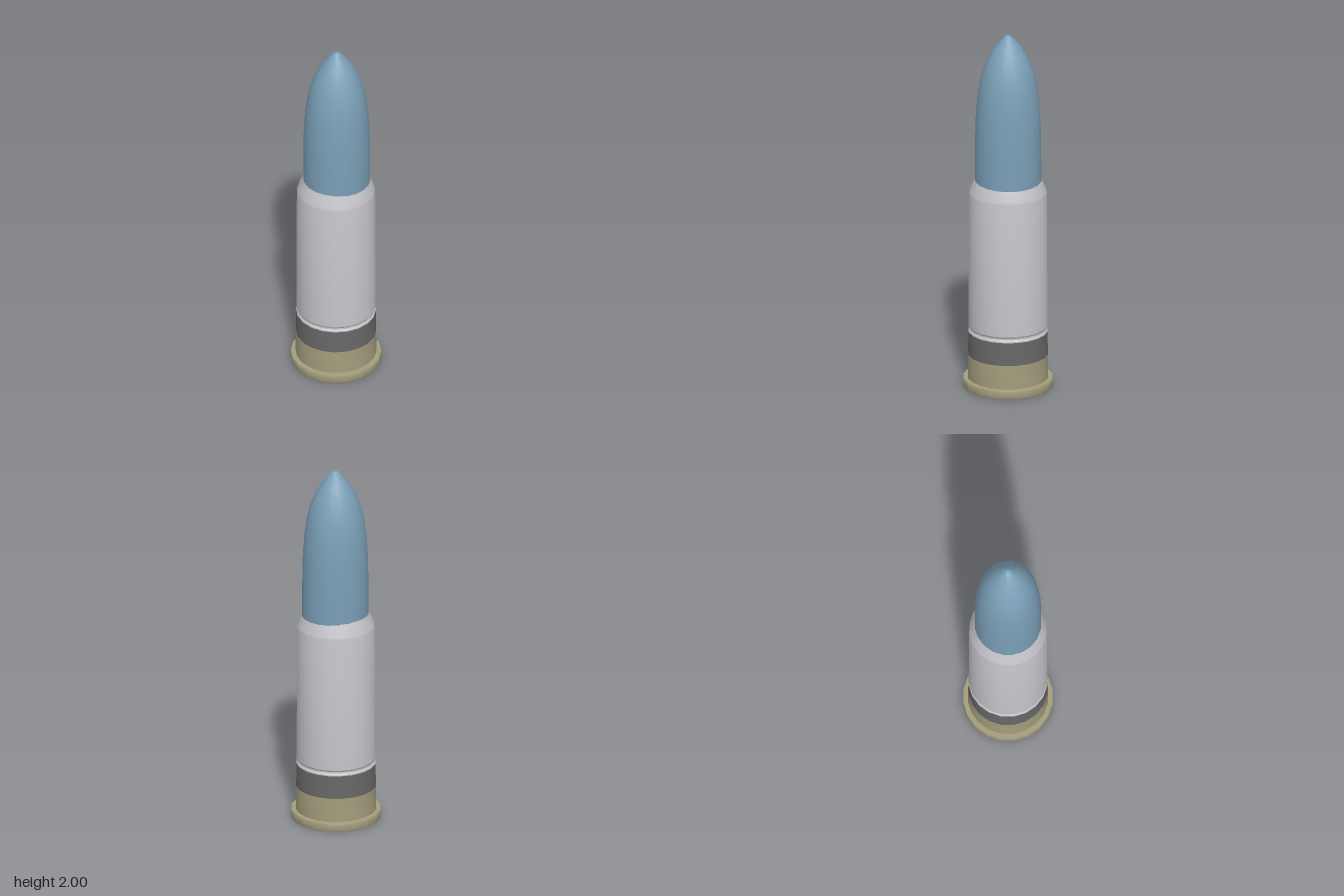
import * as THREE from 'three';
import { toCreasedNormals } from 'three/addons/utils/BufferGeometryUtils.js';

const SIDES = 20;

// Revolved part from [radius, height] pairs, listed bottom to top
function turned(name, color, profile) {
  const points = profile.map(([r, y]) => new THREE.Vector2(r, y));
  const geometry = toCreasedNormals(new THREE.LatheGeometry(points, SIDES), 0.5);
  const material = new THREE.MeshStandardMaterial({ color, side: THREE.DoubleSide });
  const mesh = new THREE.Mesh(geometry, material);
  mesh.name = name;
  return mesh;
}

export function createModel() {
  const group = new THREE.Group();
  group.name = 'cartridge';

  // Brass head: recessed primer, wide rim, short wall
  group.add(turned('rimmedHead', 0xa39d7c, [
    [0, 0.015], [0.075, 0.015], [0.077, 0], [0.243, 0], [0.245, 0.004],
    [0.245, 0.043], [0.243, 0.047], [0.218, 0.047], [0.216, 0.18],
  ]));

  // Dark band above the head
  group.add(turned('band', 0x686868, [[0.216, 0.18], [0.215, 0.31]]));

  // Pale case with a small lip below and a tapered shoulder above
  group.add(turned('case', 0xc4c4ca, [
    [0.215, 0.31], [0.215, 0.316], [0.209, 0.325], [0.209, 0.333],
    [0.214, 0.342], [0.211, 1.095], [0.208, 1.11], [0.182, 1.168], [0.178, 1.18],
  ]));

  // Blue pointed projectile, seated slightly off centre
  const bullet = turned('projectile', 0x7b9fb7, [
    [0.179, 1.14], [0.18, 1.18], [0.179, 1.4], [0.176, 1.52], [0.169, 1.62],
    [0.157, 1.71], [0.138, 1.79], [0.111, 1.86], [0.075, 1.925],
    [0.035, 1.976], [0.014, 1.996], [0, 2],
  ]);
  bullet.position.x = 0.004;
  group.add(bullet);

  return group;
}
